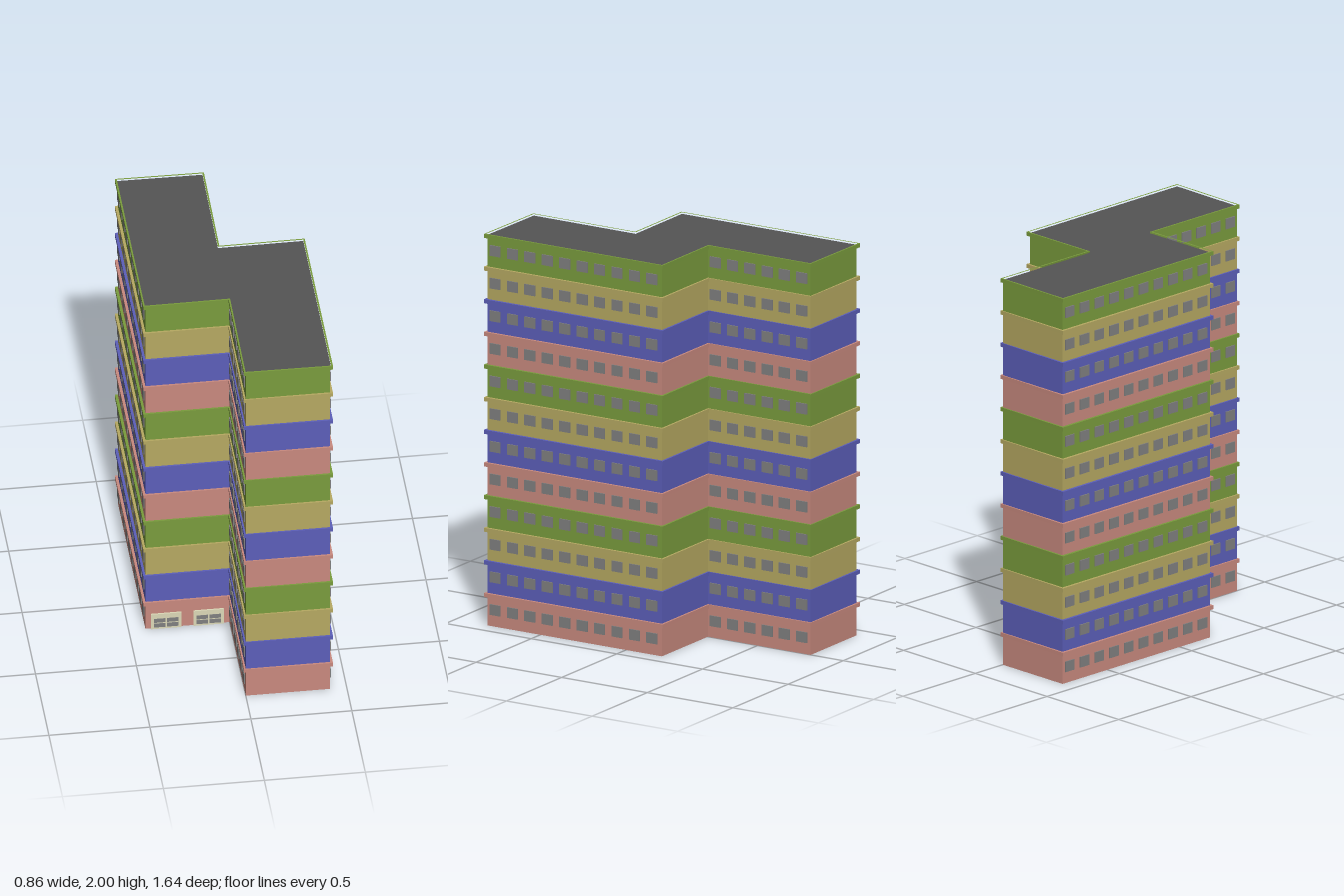
import * as THREE from 'three';
import { mergeGeometries } from 'three/addons/utils/BufferGeometryUtils.js';

const FLOORS = 12, H = 2 / FLOORS, LEDGE = 0.02;

// Half of each Z-shaped outline as [x, z]; the other half is its half-turn.
const turn = half => [...half, ...half.map(([x, z]) => [-x, -z])];
const wallLine = turn([[-0.417, -0.81], [0, -0.81], [0, -0.21], [0.417, -0.21]]);
const ledgeLine = turn([[-0.431, -0.821], [0.009, -0.816], [0.006, -0.219], [0.429, -0.221]]);
const roofLine = turn([[-0.422, -0.813], [0.001, -0.808], [-0.002, -0.211], [0.421, -0.213]]);

const toPoints = line => line.map(([x, z]) => new THREE.Vector2(x, -z));

// Upright slab over an outline, with an optional hole
function slab(line, y, height, hole) {
  const shape = new THREE.Shape(toPoints(line));
  if (hole) shape.holes.push(new THREE.Path(toPoints(hole)));
  return new THREE.ExtrudeGeometry(shape, { depth: height, bevelEnabled: false })
    .rotateX(-Math.PI / 2).translate(0, y, 0);
}

const box = (w, h, d, x, y, z) => new THREE.BoxGeometry(w, h, d).translate(x, y, z);

export function createModel() {
  const model = new THREE.Group();
  model.name = 'apartmentBlock';
  const mat = color => new THREE.MeshStandardMaterial({ color });
  const add = (name, geometry, material) => {
    const mesh = new THREE.Mesh(geometry, material);
    mesh.name = name;
    model.add(mesh);
  };

  const paints = [0xc98a7f, 0x5c5fba, 0xb6a962, 0x7a9c3d].map(mat);
  const glass = mat(0x808080), cream = mat(0xdcd9b8), roofGrey = mat(0x555555);

  for (let i = 0; i < FLOORS; i++) {
    const y = i * H, paint = paints[i % 4], top = i === FLOORS - 1;

    // Storey walls and the ledge above; the top ledge is an open roof rim
    add(`wall${i + 1}`, slab(wallLine, y, H - LEDGE), paint);
    add(`ledge${i + 1}`, slab(ledgeLine, y + H - LEDGE, LEDGE, top ? roofLine : null), paint);

    // Window rows: ten on each long wall, six on each inner wall, both sides
    const panes = [];
    for (const s of [1, -1]) {
      for (let k = 0; k < 10; k++)
        panes.push(box(0.012, 0.054, 0.062, s * 0.417, y + 0.085, s * (0.763 - k * 0.1018)));
      for (let k = 0; k < 6; k++)
        panes.push(box(0.012, 0.054, 0.062, 0, y + 0.085, s * (-0.255 - k * 0.1008)));
    }
    add(`windows${i + 1}`, mergeGeometries(panes), glass);
  }

  add('roof', slab(roofLine, 2 - LEDGE, 0.012), roofGrey);

  // Two glazed entrances on the recessed front wall
  for (const [n, x] of [-0.315, -0.105].entries()) {
    add(`entranceFrame${n + 1}`, box(0.15, 0.09, 0.016, x, 0.045, 0.21), cream);
    const panes = [];
    for (const sx of [-1, 1])
      for (const y of [0.022, 0.051])
        panes.push(box(0.058, 0.023, 0.02, x + sx * 0.032, y, 0.21));
    add(`entranceGlass${n + 1}`, mergeGeometries(panes), glass);
  }
  return model;
}
